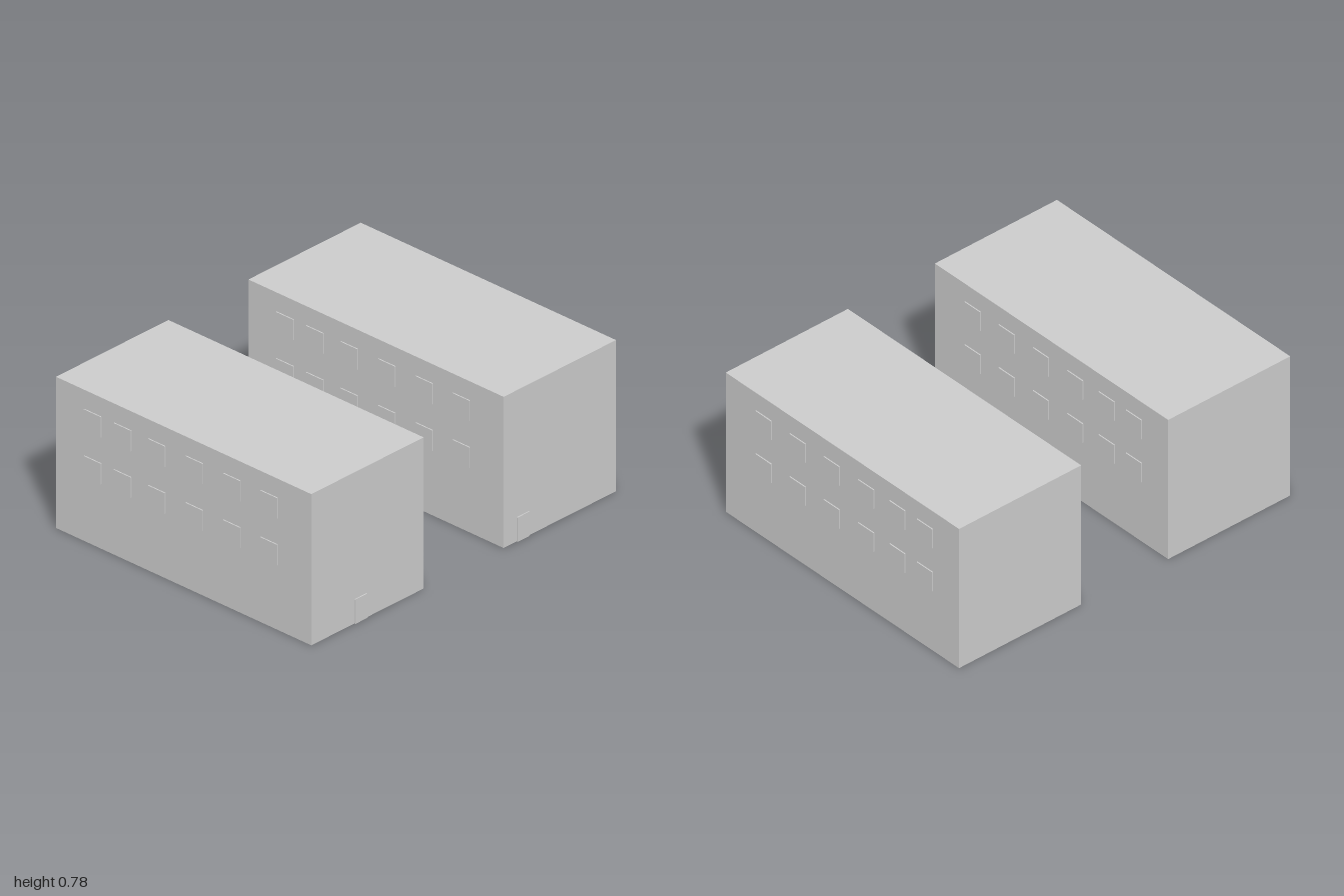
import * as THREE from 'three';

const material = new THREE.MeshStandardMaterial({ color: 0xcccccc, flatShading: true });

// Box given by its minimum and maximum on each axis
function box(name, [x0, x1], [y0, y1], [z0, z1]) {
  const mesh = new THREE.Mesh(new THREE.BoxGeometry(x1 - x0, y1 - y0, z1 - z0), material);
  mesh.name = name;
  mesh.position.set((x0 + x1) / 2, (y0 + y1) / 2, (z0 + z1) / 2);
  return mesh;
}

const LEFT = -0.797, RIGHT = 0.791, HEIGHT = 0.777;
const DEPTH = 0.733, PROUD = 0.006, INSET = 0.01;
const WINDOW = 0.106;
const columns = [-0.567, -0.381, -0.168, 0.066, 0.299, 0.53];
const rows = [0.387, 0.627];

// One building block with two rows of windows on both long sides and a door at its end
function building(name, z0, doorZ) {
  const group = new THREE.Group();
  group.name = name;
  const z1 = z0 + DEPTH;
  group.add(box('walls', [LEFT, RIGHT], [0, HEIGHT], [z0, z1]));

  const h = WINDOW / 2;
  for (const x of columns) {
    for (const y of rows) {
      group.add(box('frontWindow', [x - h, x + h], [y - h, y + h], [z1 - INSET, z1 + PROUD]));
      group.add(box('backWindow', [x - h, x + h], [y - h, y + h], [z0 - PROUD, z0 + INSET]));
    }
  }

  group.add(box('door', [RIGHT - INSET, RIGHT + PROUD], [0, 0.125], [doorZ - 0.039, doorZ + 0.039]));
  return group;
}

export function createModel() {
  const model = new THREE.Group();
  model.name = 'twinBuildings';
  model.add(building('frontBuilding', 0.261, 0.673));
  model.add(building('backBuilding', -0.994, -0.386));
  return model;
}
